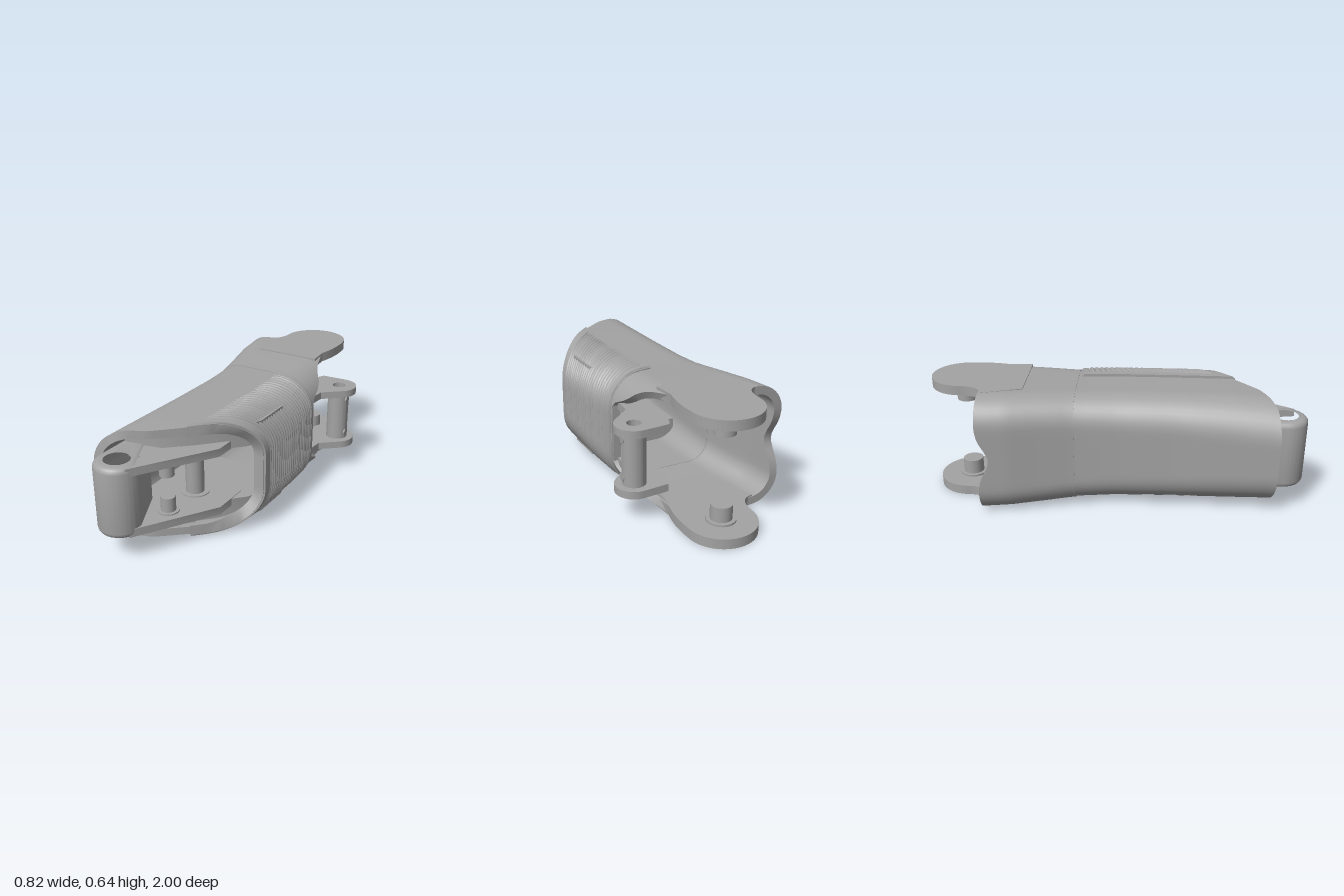
import * as THREE from 'three';
import { toCreasedNormals } from 'three/addons/utils/BufferGeometryUtils.js';

// Outer section along the length: z, x0, x1, y0, y1, corner radius at -x, at +x
const SECTIONS = [
  [-0.72, -0.412, 0.29, 0.004, 0.641, 0.15, 0.18],
  [-0.55, -0.39, 0.29, 0.007, 0.638, 0.15, 0.18],
  [-0.4, -0.355, 0.288, 0.012, 0.633, 0.15, 0.18],
  [-0.22, -0.318, 0.288, 0.022, 0.623, 0.15, 0.18],
  [0, -0.308, 0.308, 0.028, 0.622, 0.16, 0.19],
  [0.3, -0.312, 0.312, 0.028, 0.622, 0.17, 0.2],
  [0.6, -0.332, 0.312, 0.03, 0.62, 0.19, 0.2],
  [0.88, -0.356, 0.312, 0.04, 0.61, 0.2, 0.2],
];
const ARC = 10, EDGE = 9;

function lookup(table, t) {
  if (t <= table[0][0]) return table[0];
  for (let i = 1; i < table.length; i++) {
    if (t <= table[i][0]) {
      const a = table[i - 1], b = table[i], f = (t - a[0]) / (b[0] - a[0]);
      return a.map((v, k) => v + (b[k] - v) * f);
    }
  }
  return table[table.length - 1];
}

// Rounded section, counterclockwise from the bottom of the +x side
function ring(z, off) {
  const [, x0, x1, y0, y1, rl, rr] = lookup(SECTIONS, z);
  const corners = [
    [x1 - rr, y0 + rr, rr + off, -90], [x1 - rr, y1 - rr, rr + off, 0],
    [x0 + rl, y1 - rl, rl + off, 90], [x0 + rl, y0 + rl, rl + off, 180],
  ];
  const at = (c, deg) => {
    const a = THREE.MathUtils.degToRad(deg);
    return [c[0] + c[2] * Math.cos(a), c[1] + c[2] * Math.sin(a)];
  };
  const pts = [];
  corners.forEach((c, i) => {
    for (let k = 0; k <= ARC; k++) pts.push(at(c, c[3] + 90 * k / ARC));
    const n = corners[(i + 1) % 4], p = at(c, c[3] + 90), q = at(n, n[3]);
    for (let k = 1; k < EDGE; k++) {
      const f = k / EDGE;
      pts.push([p[0] + (q[0] - p[0]) * f, p[1] + (q[1] - p[1]) * f]);
    }
  });
  return pts;
}

// Thick skin over the chosen ring indices, trimmed lengthwise per index
function skin(ids, closed, steps, back, front, outer, inner) {
  const pos = [], cols = [];
  const tri = (...p) => p.forEach((v) => pos.push(...v));
  const quad = (a, b, c, d) => { tri(a, b, c); tri(a, c, d); };
  ids.forEach((u) => {
    const zb = back(ring(-0.5, 0)[u]), zf = front(ring(0.5, 0)[u]), col = [];
    const put = (v, off) => {
      const t = v / steps, z = zb + (zf - zb) * t, p = ring(z, off(t, u))[u];
      col.push([p[0], p[1], z]);
    };
    for (let v = 0; v <= steps; v++) put(v, outer);
    for (let v = steps; v >= 0; v--) put(v, () => inner);
    cols.push(col);
  });
  const n = 2 * (steps + 1);
  for (let i = 0; i < cols.length - (closed ? 0 : 1); i++) {
    const a = cols[i], b = cols[(i + 1) % cols.length];
    for (let v = 0; v < n; v++) quad(a[v], b[v], b[(v + 1) % n], a[(v + 1) % n]);
  }
  if (!closed) {
    const a = cols[0], b = cols[cols.length - 1];
    for (let v = 0; v < steps; v++) {
      quad(a[v], a[v + 1], a[n - 2 - v], a[n - 1 - v]);
      quad(b[v + 1], b[v], b[n - 1 - v], b[n - 2 - v]);
    }
  }
  const g = new THREE.BufferGeometry();
  g.setAttribute('position', new THREE.Float32BufferAttribute(pos, 3));
  return toCreasedNormals(g, 0.6);
}

// Flat plate drawn in plan (shape y is -z), between two heights
function plate(shape, y0, y1, bevel = 0) {
  const g = new THREE.ExtrudeGeometry(shape, {
    depth: y1 - y0 - 2 * bevel, curveSegments: 24, bevelEnabled: bevel > 0,
    bevelThickness: bevel, bevelSize: bevel, bevelSegments: 4,
  });
  g.rotateX(-Math.PI / 2);
  g.translate(0, y0 + bevel, 0);
  return toCreasedNormals(g, 0.6);
}
const outline = (pts) => new THREE.Shape(pts.map(([x, z]) => new THREE.Vector2(x, -z)));
function hole(shape, x, z, r) {
  shape.holes.push(new THREE.Path().absarc(x, -z, r, 0, Math.PI * 2, true));
  return shape;
}

export function createModel() {
  const model = new THREE.Group();
  const grey = new THREE.MeshStandardMaterial({ color: 0xa3a3a3 });
  grey.name = 'grey plastic';
  const add = (name, geo) => {
    const m = new THREE.Mesh(geo, grey);
    m.name = name;
    model.add(m);
    return m;
  };
  const post = (name, x, z, r, y0, y1) =>
    add(name, new THREE.CylinderGeometry(r, r, y1 - y0, 28)).position.set(x, (y0 + y1) / 2, z);
  // Repeat a part in the lower and upper halves
  const MID = 0.3225;
  const both = (fn, y0, y1) => { fn(y0, y1); fn(2 * MID - y1, 2 * MID - y0); };

  // Main tube with its slanted front opening
  const total = ring(0, 0).length;
  const all = Array.from({ length: total }, (_, i) => i);
  const frontTrim = [[-0.35, 0.855], [-0.25, 0.835], [-0.08, 0.76], [0.05, 0.64], [0.312, 0.36]];
  const front = (p) => lookup(frontTrim, p[0])[1];
  add('mainShell', skin(all, true, 20, () => -0.24, (p) => front(p) - 0.008, () => 0, -0.042));

  // Flared rear sleeve, open on the +x side
  const backTrim = [[0.08, -0.7], [0.15, -0.62], [0.18, -0.5], [0.22, -0.41],
    [0.265, -0.35], [0.284, -0.235]];
  const back = (p) => (p[0] < -0.3
    ? -0.7 + 0.06 * Math.exp(-(((p[1] - MID) / 0.09) ** 2))
    : lookup(backTrim, p[0])[1]);
  add('rearSleeve', skin(all, true, 16, back, () => -0.21, () => 0.004, -0.04));

  // Ribbed grip wrapped round the +x side
  const plan = ring(0.5, 0);
  const lower = all.filter((i) => plan[i][0] > 0.03 && i > total / 2);
  const grip = [...lower, ...all.filter((i) => plan[i][0] > 0.03 && i <= total / 2)];
  const RIBS = 22;
  const ribbed = (t, u) => {
    const f = (t - 0.06) / 0.86;
    if (f < 0 || f > 1 || plan[u][0] < 0.09) return t < 0.01 || t > 0.99 ? 0.006 : 0.014;
    return 0.004 + 0.014 * Math.sqrt(Math.abs(Math.sin(Math.PI * RIBS * f)));
  };
  add('ribbedGrip', skin(grip, false, 150, (p) => -0.19 - 0.12 * Math.max(0, p[0] - 0.03),
    front, ribbed, -0.05));

  // Rear ears with inward pegs
  const ear = new THREE.Shape();
  ear.moveTo(0.17, 0.48);
  ear.lineTo(0.16, 0.6);
  ear.quadraticCurveTo(0.19, 0.7, 0.18, 0.82);
  ear.absarc(0, 0.82, 0.18, 0, Math.PI, false);
  ear.quadraticCurveTo(-0.18, 0.7, -0.27, 0.695);
  ear.lineTo(-0.2, 0.48);
  both((a, b) => add('rearEar', plate(ear, a, b)), 0, 0.052);
  both((a, b) => post('rearPegCollar', 0, -0.82, 0.075, a, b), 0.05, 0.062);
  both((a, b) => post('rearPeg', 0, -0.82, 0.055, a, b), 0.05, 0.14);

  // Side lugs joined by a hollow pin
  const lug = new THREE.Shape();
  lug.moveTo(0.1, 0.2);
  lug.lineTo(0.26, 0.2);
  lug.lineTo(0.275, 0.36);
  lug.lineTo(0.372, 0.441);
  lug.absarc(0.312, 0.52, 0.098, -0.92, Math.PI / 2, false);
  lug.lineTo(0.17, 0.61);
  lug.lineTo(0.15, 0.57);
  hole(lug, 0.312, -0.52, 0.036);
  both((a, b) => add('sideLug', plate(lug, a, b)), 0.144, 0.184);
  const pin = new THREE.Shape().absarc(0.312, 0.52, 0.06, 0, Math.PI * 2, false);
  add('lugPin', plate(hole(pin, 0.312, -0.52, 0.036), 0.18, 0.465));
  for (const y of [0.22, 0.425]) {
    const screw = add('pinScrew', new THREE.CylinderGeometry(0.02, 0.02, 0.02, 16));
    screw.rotation.z = Math.PI / 2;
    screw.position.set(0.364, y, -0.512);
  }

  // Inner floor and ceiling
  const floor = outline([[-0.25, 0.72], [-0.06, 0.68], [0.06, 0.57], [0.24, 0.38],
    [0.27, 0.3], [0.27, 0.08], [-0.25, 0.08]]);
  both((a, b) => add('innerFloor', plate(floor, a, b)), 0.065, 0.18);

  // Front arms and the bored hinge block
  const arm = outline([[-0.07, 0.945], [0.18, 0.545], [0.18, 0.35], [-0.2, 0.35],
    [-0.2, 0.76], [-0.095, 0.8]]);
  both((a, b) => add('frontArm', plate(arm, a, b)), 0.141, 0.183);
  const block = new THREE.Shape();
  block.moveTo(-0.25, -0.885);
  block.lineTo(-0.25, -0.68);
  block.lineTo(-0.18, -0.68);
  block.lineTo(-0.08, -0.885);
  block.absarc(-0.165, -0.885, 0.085, 0, -Math.PI, true);
  add('hingeBlock', plate(hole(block, -0.165, 0.885, 0.065), 0.136, 0.509, 0.03));

  // Pegs and post inside the front window
  both((a, b) => post('frontPeg', -0.022, 0.7, 0.038, a, b), 0.17, 0.265);
  both((a, b) => post('frontPegCollar', -0.022, 0.7, 0.055, a, b), 0.17, 0.19);
  post('innerPost', -0.022, 0.47, 0.048, 0.17, 0.475);
  both((a, b) => post('innerPostCollar', -0.022, 0.47, 0.075, a, b), 0.17, 0.188);

  return model;
}
